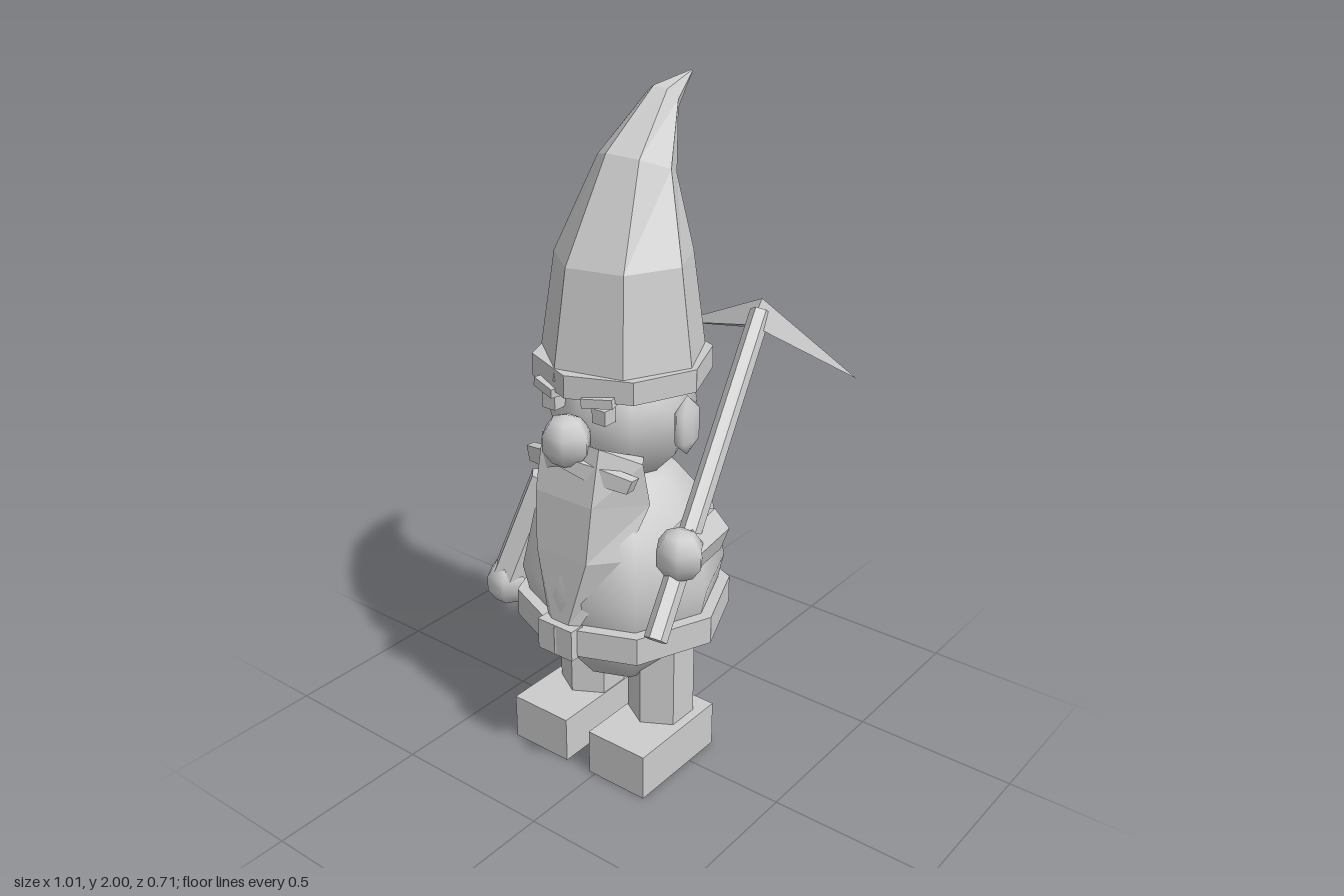
import * as THREE from 'three';

const V = (x, y, z) => new THREE.Vector3(x, y, z);

export function createModel() {
  const root = new THREE.Group();
  root.name = 'gardenGnome';
  const stone = new THREE.MeshStandardMaterial({ color: 0xcccccc });
  stone.name = 'stoneGrey';
  const stoneSheet = new THREE.MeshStandardMaterial({ color: 0xcccccc, side: THREE.DoubleSide });
  stoneSheet.name = 'stoneGreySheet';

  // The figure stands off-centre because of the pickaxe
  const figure = new THREE.Group();
  figure.name = 'figure';
  figure.position.x = -0.065;
  root.add(figure);

  const add = (parent, name, geo, pos = [0, 0, 0], mat = stone) => {
    const m = new THREE.Mesh(geo, mat);
    m.name = name;
    m.position.set(...pos);
    parent.add(m);
    return m;
  };
  const flat = (geo) => {
    const g = geo.index ? geo.toNonIndexed() : geo;
    g.computeVertexNormals();
    return g;
  };
  const prism = (r, h, sides, r2 = r) => flat(new THREE.CylinderGeometry(r, r2, h, sides));
  const ball = (rx, ry, rz, w = 8, h = 6) => new THREE.SphereGeometry(1, w, h).scale(rx, ry, rz);
  const limb = (name, from, to, r, sides, rEnd = r) => {
    const dir = to.clone().sub(from);
    const m = add(root, name, prism(rEnd, dir.length(), sides, r));
    m.position.copy(from).addScaledVector(dir, 0.5);
    m.quaternion.setFromUnitVectors(V(0, 1, 0), dir.normalize());
    return m;
  };
  // Faceted surface through rows of points
  const loft = (rows, closed) => {
    const p = [];
    const n = rows[0].length;
    for (let i = 0; i < rows.length - 1; i++) {
      for (let j = 0; j < (closed ? n : n - 1); j++) {
        const k = (j + 1) % n;
        const [a, b, c, d] = [rows[i][j], rows[i][k], rows[i + 1][j], rows[i + 1][k]];
        for (const q of [a, c, b, b, c, d]) p.push(q.x, q.y, q.z);
      }
    }
    const g = new THREE.BufferGeometry();
    g.setAttribute('position', new THREE.Float32BufferAttribute(p, 3));
    g.computeVertexNormals();
    return g;
  };

  // Body, head and belt
  add(figure, 'body', ball(0.3, 0.365, 0.3), [0, 0.615, 0]);
  add(figure, 'head', ball(0.21, 0.22, 0.21), [0, 1.12, 0]);
  add(figure, 'belt', prism(0.318, 0.085, 8), [0, 0.493, 0]);
  add(figure, 'buckle', new THREE.BoxGeometry(0.125, 0.096, 0.05), [0, 0.493, 0.291]);
  add(figure, 'nose', ball(0.076, 0.076, 0.07, 6, 5), [0, 1.09, 0.246]);

  // Mirrored parts
  for (const s of [-1, 1]) {
    const side = s > 0 ? 'left' : 'right';
    add(figure, side + 'Boot', new THREE.BoxGeometry(0.205, 0.145, 0.345), [s * 0.147, 0.0725, 0.055]);
    add(figure, side + 'Leg', prism(0.1, 0.27, 6), [s * 0.134, 0.275, -0.005]);
    add(figure, side + 'Ear', ball(0.026, 0.088, 0.058, 8, 3), [s * 0.222, 1.11, 0]);
    add(figure, side + 'Eye', new THREE.BoxGeometry(0.045, 0.042, 0.045), [s * 0.088, 1.17, 0.193]);
    const brow = add(figure, side + 'Eyebrow', new THREE.BoxGeometry(0.09, 0.026, 0.045), [s * 0.088, 1.215, 0.21]);
    brow.rotation.set(0, s * 0.3, s * 0.1);

    // Moustache wing, swept back towards its tip
    const outline = [[0, 1.055], [0.09, 1.035], [0.19, 1.005], [0.175, 0.965], [0.08, 0.985], [0, 1.025]];
    const wing = new THREE.ExtrudeGeometry(
      new THREE.Shape(outline.map(([x, y]) => new THREE.Vector2(s * x, y))), { depth: 0.03, bevelEnabled: false });
    const pos = wing.attributes.position;
    for (let i = 0; i < pos.count; i++) pos.setZ(i, pos.getZ(i) + 0.25 - 0.42 * Math.abs(pos.getX(i)));
    add(figure, side + 'Moustache', flat(wing), [0, 0, 0], stoneSheet);
  }

  // Beard: rows of [outer x, outer y, outer z, inner x, inner y, inner z]
  const beardRows = [
    [0.06, 0.54, 0.275, 0.03, 0.54, 0.292],
    [0.16, 0.75, 0.2, 0.09, 0.75, 0.28],
    [0.185, 0.9, 0.115, 0.1, 0.92, 0.265],
    [0.18, 1.03, 0.14, 0.1, 1.085, 0.23],
  ].map(([x, y, z, u, v, w]) => [V(x, y, z), V(u, v, w), V(-u, v, w), V(-x, y, z)]);
  beardRows.push([V(0.15, 1.03, 0.1), V(0.08, 1.05, 0.17), V(-0.08, 1.05, 0.17), V(-0.15, 1.03, 0.1)]);
  add(figure, 'beard', loft(beardRows, false), [0, 0, 0], stoneSheet);

  // Hat: seven-sided rings bending backwards, [y, z, radius, tilt]
  add(figure, 'hatBrim', prism(0.252, 0.065, 8), [0, 1.247, 0]);
  const hatRings = [
    [1.245, 0, 0.001, 0], [1.245, 0, 0.24, 0], [1.55, -0.005, 0.195, 0],
    [1.785, -0.065, 0.112, 0.38], [1.94, -0.178, 0.048, 0.85], [1.992, -0.3, 0.004, 1.2],
  ].map(([y, z, r, tilt]) => Array.from({ length: 7 }, (_, i) => {
    const a = (i / 7) * Math.PI * 2;
    const f = r * Math.sin(a);
    return V(r * Math.cos(a), y + f * Math.sin(tilt), z + f * Math.cos(tilt));
  }));
  add(figure, 'hat', loft(hatRings, true));

  // Arms and hands
  const rightHand = V(-0.44, 0.46, 0.11);
  const leftHand = V(0.285, 0.84, 0.2);
  limb('rightArm', V(-0.352, 0.8, 0.005), rightHand, 0.06, 6);
  limb('leftArm', V(0.215, 0.8, -0.02), leftHand, 0.068, 6, 0.062);
  add(root, 'rightHand', ball(0.072, 0.075, 0.068, 6, 5), rightHand.toArray());
  add(root, 'leftHand', ball(0.074, 0.075, 0.068, 6, 5), leftHand.toArray());

  // Pickaxe: long handle and a double spike with a four-cornered middle
  limb('pickaxeHandle', V(0.305, 0.645, 0.33), V(0.193, 1.365, -0.29), 0.032, 6, 0.03);
  const tip = (x, y, z) => Array.from({ length: 4 }, () => V(x, y, z));
  const middle = [V(0.19, 1.4, -0.3), V(0.18, 1.335, -0.352), V(0.185, 1.31, -0.305), V(0.19, 1.335, -0.252)];
  const spikes = loft([tip(-0.14, 1.245, -0.35), middle, tip(0.5, 1.235, -0.305)], true);
  add(root, 'pickaxeHead', spikes, [0, 0, 0], stoneSheet);

  return root;
}
